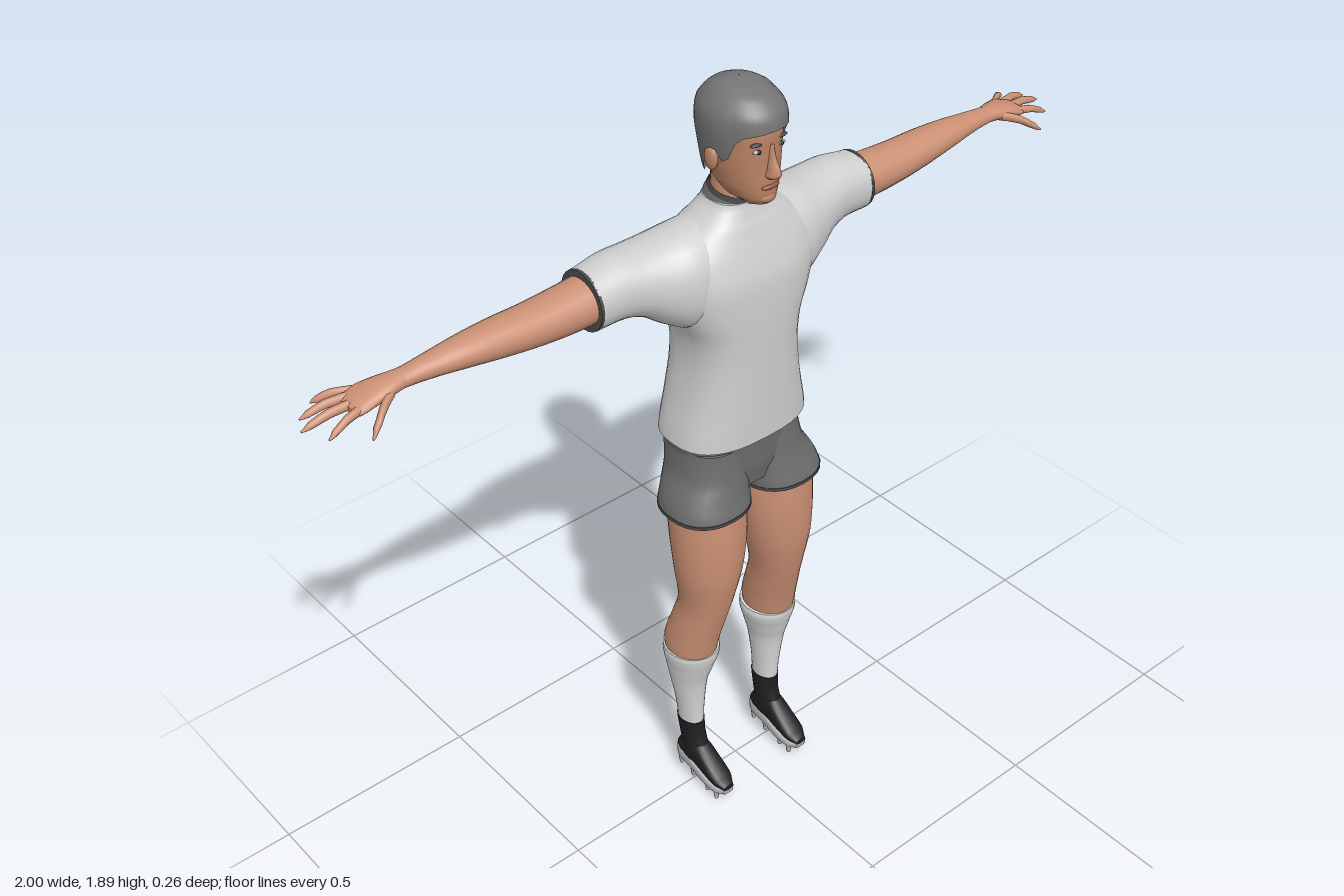
import * as THREE from 'three';

const mat = (name, color, side = THREE.FrontSide) => {
  const m = new THREE.MeshStandardMaterial({ color, side });
  m.name = name;
  return m;
};

// Catmull-Rom value between b and c
const spline = (a, b, c, d, t) =>
  0.5 * (2 * b + (c - a) * t + (2 * a - 5 * b + 4 * c - d) * t * t + (3 * b - a - 3 * c + d) * t * t * t);

function resample(rows, steps) {
  const out = [];
  const at = (i) => rows[Math.min(Math.max(i, 0), rows.length - 1)];
  for (let i = 0; i < rows.length - 1; i++) {
    for (let s = 0; s < steps; s++) {
      const t = s / steps;
      out.push(rows[i].map((v, k) => k === 0
        ? v + (rows[i + 1][0] - v) * t
        : spline(at(i - 1)[k], v, at(i + 1)[k], at(i + 2)[k], t)));
    }
  }
  out.push(rows[rows.length - 1]);
  return out;
}

// Rounded sections along an axis; each row is [t, aMin, aMax, bMin, bMax].
// Axis y: a = x, b = z. Axis x: a = y, b = z. Axis z: a = x, b = y.
function loft(axis, rows, { n = 24, power = 2, steps = 4, caps = true } = {}) {
  const place = { x: (t, a, b) => [t, a, b], y: (t, a, b) => [a, t, b], z: (t, a, b) => [a, b, t] }[axis];
  const rings = resample(rows, steps);
  const pos = [], index = [];
  const tri = (a, b, c) => (axis === 'y' ? index.push(a, c, b) : index.push(a, b, c));
  const round = (v) => Math.sign(v) * Math.pow(Math.abs(v), 2 / power);
  const ring = ([t, a0, a1, b0, b1]) => {
    for (let i = 0; i < n; i++) {
      const w = (i / n) * Math.PI * 2;
      pos.push(...place(t, (a0 + a1) / 2 + (a1 - a0) / 2 * round(Math.cos(w)),
        (b0 + b1) / 2 + (b1 - b0) / 2 * round(Math.sin(w))));
    }
  };
  rings.forEach(ring);
  for (let j = 0; j < rings.length - 1; j++) {
    for (let i = 0; i < n; i++) {
      const k = (i + 1) % n, p = j * n, q = p + n;
      tri(p + i, p + k, q + k);
      tri(p + i, q + k, q + i);
    }
  }
  if (caps) {
    [rings[0], rings[rings.length - 1]].forEach((r, end) => {
      const s = pos.length / 3;
      ring(r);
      pos.push(...place(r[0], (r[1] + r[2]) / 2, (r[3] + r[4]) / 2));
      for (let i = 0; i < n; i++) {
        const k = (i + 1) % n;
        if (end) tri(s + i, s + k, s + n); else tri(s + k, s + i, s + n);
      }
    });
  }
  const g = new THREE.BufferGeometry();
  g.setAttribute('position', new THREE.Float32BufferAttribute(pos, 3));
  g.setIndex(index);
  g.computeVertexNormals();
  return g;
}

function mirrored(geometry) {
  const g = geometry.clone().scale(-1, 1, 1);
  const idx = Array.from(g.index.array);
  for (let i = 0; i < idx.length; i += 3) [idx[i + 1], idx[i + 2]] = [idx[i + 2], idx[i + 1]];
  g.setIndex(idx);
  return g;
}

const sym = (rows) => rows.map(([y, w, z0, z1]) => [y, -w, w, z0, z1]);
const ball = (x, y, z, rx, ry, rz) => new THREE.SphereGeometry(1, 16, 12).scale(rx, ry, rz).translate(x, y, z);

// Hair cap whose lower edge follows fringe, sideburn, ear and nape
function hairGeometry() {
  const rows = resample(sym([[1.66, .056, -.066, .08], [1.70, .072, -.072, .1], [1.75, .081, -.08, .115],
    [1.80, .086, -.087, .122], [1.84, .082, -.081, .117], [1.87, .06, -.055, .088],
    [1.885, .034, -.022, .048], [1.89, .001, .01, .012]]), 4);
  const edge = [[-1, 1.665], [-.5, 1.68], [-.2, 1.735], [.0, 1.765], [.15, 1.765], [.3, 1.74], [.5, 1.755], [.62, 1.80], [1, 1.812]];
  const lookup = (table, x) => {
    let i = 0;
    while (i < table.length - 2 && table[i + 1][0] < x) i++;
    const t = (x - table[i][0]) / (table[i + 1][0] - table[i][0]);
    return table[i].map((v, k) => v + (table[i + 1][k] - v) * t);
  };
  const n = 40, m = 16, pos = [], index = [];
  for (let j = 0; j <= m; j++) {
    for (let i = 0; i < n; i++) {
      const w = (i / n) * Math.PI * 2, low = lookup(edge, Math.sin(w))[1];
      const v = Math.sin((j / m) * Math.PI / 2);
      const [y, , x1, z0, z1] = lookup(rows, low + (1.89 - low) * v);
      pos.push(x1 * Math.cos(w), y, (z0 + z1) / 2 + (z1 - z0) / 2 * Math.sin(w));
      if (j < m) {
        const k = (i + 1) % n, p = j * n, q = p + n;
        index.push(p + i, q + k, p + k, p + i, q + i, q + k);
      }
    }
  }
  const g = new THREE.BufferGeometry();
  g.setAttribute('position', new THREE.Float32BufferAttribute(pos, 3));
  g.setIndex(index);
  g.computeVertexNormals();
  return g;
}

export function createModel() {
  const model = new THREE.Group();
  model.name = 'footballPlayer';
  const skin = mat('skin', 0xcb9074), face = mat('faceSkin', 0xbc8466), lips = mat('lips', 0x96584a);
  const shirt = mat('shirtWhite', 0xcfcfcf), sock = mat('sockWhite', 0xd6d6d6), shorts = mat('shortsGrey', 0x6c6c6c);
  const hair = mat('hairGrey', 0x757575, THREE.DoubleSide), black = mat('bootBlack', 0x202020);
  const sole = mat('soleGrey', 0xb2b2b2), trim = mat('trimGrey', 0x4c4c4c, THREE.DoubleSide);

  const add = (name, geometry, material) => {
    const mesh = new THREE.Mesh(geometry, material);
    mesh.name = name;
    model.add(mesh);
    return mesh;
  };
  const pair = (name, geometry, material) => {
    add(name + 'Left', geometry, material);
    add(name + 'Right', mirrored(geometry), material);
  };

  // Shirt
  add('shirtBody', loft('y', sym([[1.06, .172, -.13, .106], [1.15, .153, -.127, .108], [1.25, .137, -.121, .11],
    [1.33, .141, -.121, .112], [1.40, .17, -.126, .112], [1.47, .188, -.126, .108], [1.53, .18, -.112, .09],
    [1.58, .125, -.085, .072], [1.61, .083, -.068, .06], [1.63, .066, -.06, .055]]), { n: 36, power: 2.6 }), shirt);
  pair('sleeve', loft('x', [[.08, 1.36, 1.597, -.105, .075], [.15, 1.362, 1.589, -.115, .08], [.2, 1.388, 1.58, -.117, .064],
    [.25, 1.423, 1.577, -.112, .046], [.3, 1.437, 1.577, -.107, .035], [.37, 1.437, 1.567, -.1, .03]],
    { n: 28, power: 2.2 }), shirt);
  pair('sleeveHem', loft('x', [[.366, 1.435, 1.569, -.102, .032], [.373, 1.435, 1.569, -.102, .032]], { steps: 1 }), trim);

  // Collar with two dark edges, tilted down at the front
  const tilt = (g) => g.scale(1, 1, .95).rotateX(.24).translate(0, 1.632, -.002);
  add('collar', tilt(new THREE.CylinderGeometry(.057, .067, .045, 28, 1, true)), trim);
  add('collarBand', tilt(new THREE.CylinderGeometry(.061, .066, .02, 28, 1, true)), hair);
  add('neck', new THREE.CylinderGeometry(.051, .056, .14, 24).translate(0, 1.63, .002), skin);

  // Head and face
  add('head', loft('y', sym([[1.642, .03, .01, .1], [1.655, .046, -.03, .108], [1.68, .059, -.052, .11],
    [1.72, .068, -.062, .11], [1.77, .074, -.072, .111], [1.81, .075, -.072, .111], [1.85, .06, -.055, .09],
    [1.87, .03, -.02, .05]]), { n: 32 }), face);
  add('nose', loft('y', [[1.704, -.009, .009, .095, .118], [1.712, -.016, .016, .095, .132], [1.722, -.013, .013, .095, .134],
    [1.75, -.008, .008, .095, .121], [1.78, -.007, .007, .095, .113]], { n: 14 }), face);
  add('mouth', ball(0, 1.685, .107, .023, .006, .008), lips);
  add('chin', ball(0, 1.658, .097, .022, .014, .014), face);
  pair('eye', ball(.03, 1.769, .1015, .012, .005, .006), sole);
  pair('iris', ball(.03, 1.769, .104, .005, .005, .0055), black);
  pair('eyebrow', ball(.031, 1.785, .101, .017, .004, .007), trim);
  pair('ear', ball(.076, 1.738, .015, .011, .027, .018), face);
  add('hair', hairGeometry(), hair);

  // Arms and hands
  pair('arm', loft('x', [[.34, 1.452, 1.556, -.093, .022], [.42, 1.452, 1.55, -.09, .02], [.5, 1.457, 1.546, -.086, .016],
    [.58, 1.466, 1.545, -.083, .01], [.66, 1.478, 1.541, -.076, .002], [.74, 1.486, 1.532, -.068, -.012],
    [.8, 1.489, 1.525, -.065, -.019]]), skin);
  pair('palm', loft('x', [[.79, 1.489, 1.526, -.065, -.019], [.83, 1.486, 1.522, -.078, -.014],
    [.87, 1.48, 1.512, -.092, -.012], [.9, 1.474, 1.5, -.092, -.016], [.908, 1.48, 1.494, -.086, -.024]], { n: 18 }), skin);
  const fingers = [['littleFinger', [.87, 1.494, -.085], [.943, 1.474, -.128], .009],
    ['ringFinger', [.88, 1.492, -.075], [.985, 1.472, -.097], .0095],
    ['middleFinger', [.88, 1.49, -.053], [1, 1.468, -.066], .01],
    ['indexFinger', [.88, 1.49, -.03], [.973, 1.466, -.014], .0095],
    ['thumb', [.825, 1.5, -.025], [.908, 1.46, .031], .011]];
  for (const [name, from, to, r] of fingers) {
    const rows = [[0, 1], [.5, .95], [.85, .75], [1, .2]].map(([t, s]) => {
      const [x, y, z] = from.map((v, i) => v + (to[i] - v) * t);
      const arch = .008 * Math.sin(t * Math.PI);
      return [x, y + arch - r * s, y + arch + r * s, z - r * s, z + r * s];
    });
    pair(name, loft('x', rows, { n: 10, steps: 2 }), skin);
  }

  // Shorts
  add('shortsHips', loft('y', sym([[.92, .1, -.07, .075], [.97, .148, -.1, .083], [1.02, .155, -.116, .085],
    [1.075, .163, -.125, .088]]), { n: 32, power: 2.5 }), shorts);
  pair('shortsLeg', loft('y', [[.885, .004, .205, -.085, .115], [.92, .001, .195, -.087, .104], [.97, 0, .167, -.1, .09],
    [1.04, .005, .155, -.112, .08]], { n: 28, power: 2.3 }), shorts);
  pair('shortsHem', loft('y', [[.881, .003, .206, -.086, .116], [.889, .003, .206, -.086, .116]],
    { n: 28, power: 2.3, steps: 1 }), trim);

  // Legs and socks
  pair('leg', loft('y', [[.42, .065, .18, -.083, .045], [.46, .061, .182, -.088, .052], [.52, .056, .177, -.07, .066],
    [.6, .048, .17, -.047, .087], [.7, .026, .184, -.053, .106], [.8, .011, .19, -.066, .111],
    [.9, .01, .188, -.077, .108]], { n: 28 }), skin);
  pair('sock', loft('y', [[.18, .094, .148, -.064, .01], [.25, .09, .155, -.067, .013], [.33, .081, .168, -.078, .022],
    [.39, .064, .18, -.088, .04], [.425, .054, .187, -.091, .05], [.44, .056, .186, -.091, .051]], { n: 28 }), sock);

  // Boots with tilted soles and studs
  pair('bootShaft', loft('y', [[.07, .093, .147, -.056, .045], [.11, .093, .147, -.055, .028], [.15, .092, .148, -.06, .014],
    [.192, .091, .151, -.066, .012]], { n: 20 }), black);
  pair('bootFoot', loft('z', [[-.058, .1, .14, .065, .1], [-.04, .094, .146, .055, .12], [.01, .093, .147, .048, .128],
    [.05, .091, .149, .043, .1], [.09, .093, .147, .038, .07], [.114, .105, .135, .036, .05]],
    { n: 20, power: 2.4 }), black);
  pair('sole', loft('z', [[-.06, .1, .14, .044, .085], [-.045, .093, .147, .04, .082], [.0, .093, .147, .032, .066],
    [.05, .089, .151, .025, .053], [.09, .092, .148, .021, .044], [.113, .105, .135, .024, .04]],
    { n: 20, power: 4 }), sole);
  const studs = [[-.045, .022], [.0, .012], [.055, .003], [.088, 0]];
  studs.forEach(([z, base], i) => {
    for (const x of [.102, .138]) {
      pair('stud' + (i + 1) + (x < .12 ? 'Inner' : 'Outer'),
        new THREE.CylinderGeometry(.009, .005, .035, 8).translate(x, base + .0175, z), sole);
    }
  });
  return model;
}
